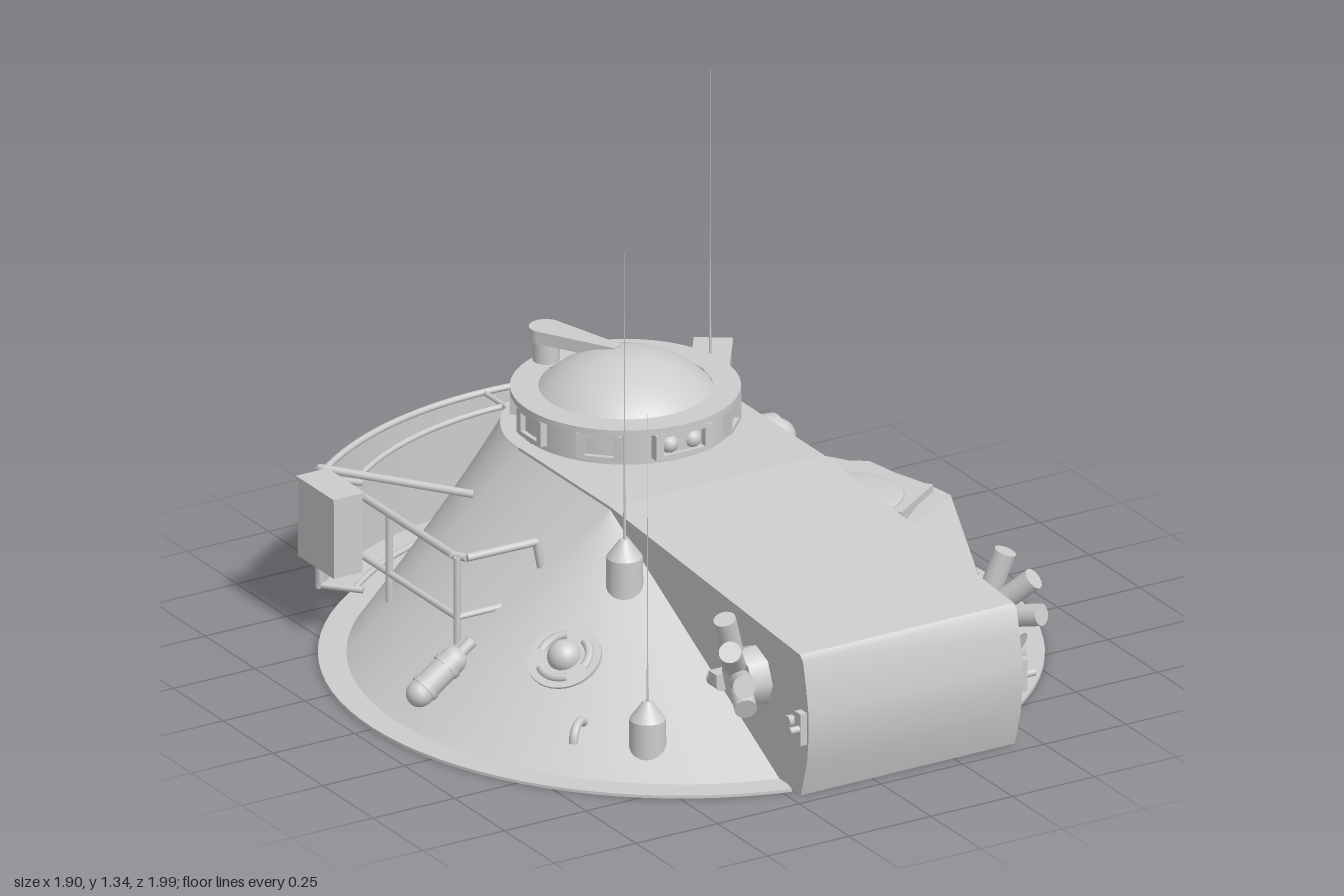
import * as THREE from 'three';

const V = (x, y, z) => new THREE.Vector3(x, y, z);
const UP = V(0, 1, 0);
const CX = 0.11, CZ = -0.46, HALF = 0.3275, TOP = 0.46, R = 0.875;

export function createModel() {
  const model = new THREE.Group();
  const grey = new THREE.MeshStandardMaterial({ color: 0xcccccc, side: THREE.DoubleSide });
  grey.name = 'plain grey';

  const add = (name, geo, parent = model, pos = [0, 0, 0], rot = [0, 0, 0]) => {
    const m = new THREE.Mesh(geo, grey);
    m.name = name;
    m.position.set(...pos);
    m.rotation.set(...rot);
    parent.add(m);
    return m;
  };
  // Skin between two rows of points
  const strip = (name, a, b, flat = false) => {
    const n = a.length, idx = [];
    for (let i = 0; i < n - 1; i++) idx.push(i, i + 1, n + i, i + 1, n + i + 1, n + i);
    let g = new THREE.BufferGeometry().setFromPoints([...a, ...b]);
    g.setIndex(idx);
    if (flat) g = g.toNonIndexed();
    g.computeVertexNormals();
    return add(name, g);
  };
  const flatShape = pts => new THREE.ShapeGeometry(new THREE.Shape(pts.map(p => new THREE.Vector2(...p))));
  const cyl = (r1, r2, h, n = 20) => new THREE.CylinderGeometry(r1, r2, h, n);
  const box = (x, y, z) => new THREE.BoxGeometry(x, y, z);
  // Round bar between two points, and a chain of them
  const bar = (name, a, b, r, parent = model, n = 10, rEnd = r) => {
    const d = b.clone().sub(a);
    const m = add(name, cyl(rEnd, r, d.length(), n), parent);
    m.position.copy(a).addScaledVector(d, 0.5);
    m.quaternion.setFromUnitVectors(UP, d.normalize());
    return m;
  };
  const rail = (name, pts, r = 0.009) => {
    for (let i = 0; i < pts.length - 1; i++) bar(name, pts[i], pts[i + 1], r);
  };
  const group = (name, pos, normal = UP) => {
    const g = new THREE.Group();
    g.name = name;
    g.position.copy(pos);
    g.quaternion.setFromUnitVectors(UP, normal);
    model.add(g);
    return g;
  };

  // Base flange, open where the front housing passes through
  const flange = new THREE.RingGeometry(0.86, 0.95, 80, 1, -Math.PI / 2 + 0.49, Math.PI * 2 - 0.73);
  flange.rotateX(-Math.PI / 2);
  add('baseFlange', flange, model, [0, 0.008, 0]);
  add('flangeEdge', new THREE.CylinderGeometry(0.95, 0.95, 0.008, 80, 1, true, 0.49, Math.PI * 2 - 0.73), model, [0, 0.004, 0]);

  // Sloping shell on the left and back, closing in against the tower at its right end
  const low = [], high = [];
  for (let d = -76; d <= 140; d += 2) {
    const a = d * Math.PI / 180;
    const foot = V(-R * Math.cos(a), 0.008, -R * Math.sin(a));
    let head = V(CX - HALF, TOP, 0);
    if (d > 36) {
      const t = (d - 36) / 82 * 2.35;
      head = V(CX - HALF * Math.cos(t), TOP, CZ - HALF * Math.sin(t));
    } else if (d > 0) head.z = CZ * d / 36;
    if (d > 108) foot.lerp(V(head.x, 0.008, head.z), (d - 108) / 32);
    low.push(foot);
    high.push(head);
  }
  strip('slopingShell', low, high);

  // Front housing: upper and lower nose plates, roof, then its side walls
  const roof = [[0.955, 0], [0.985, 0.1], [0.994, 0.18], [0.994, 0.24], [0.98, 0.32], [0.965, 0.385], [0.95, 0.398]];
  const edge = (pts, x) => pts.map(([z, y]) => V(x, y, z));
  strip('housingNose', edge(roof, CX - HALF), edge(roof, CX + HALF));
  const roofTop = [[0.95, 0.398], [0, TOP + 0.008], [CZ, TOP + 0.008]];
  strip('housingRoof', edge(roofTop, CX - HALF), edge(roofTop, CX + HALF), true);
  const wall = (name, pts, x) => add(name, flatShape(pts).rotateY(-Math.PI / 2), model, [x, 0, 0]);
  wall('housingLeftWall', [...roof, [0, TOP + 0.008], [CZ, TOP + 0.008], [CZ, TOP], [0, TOP], [0.848, 0]], CX - HALF);
  wall('housingRightWall', [...roof, [0, TOP + 0.008], [CZ, TOP + 0.008], [CZ, 0.22], [0.2, 0.22], [0.42, 0]], CX + HALF);
  add('towerRoof', new THREE.CircleGeometry(HALF, 48, 0, Math.PI).rotateX(-Math.PI / 2), model, [CX, TOP + 0.006, CZ]);
  add('towerBackWall', new THREE.CylinderGeometry(HALF, HALF, 0.25, 32, 1, true, Math.PI / 2, Math.PI / 2), model, [CX, TOP - 0.117, CZ]);

  // Right platform with a sloping front
  const bot = [V(0.4375, 0.008, 0.42), V(0.87, 0.008, 0.1)], cap = [V(0.4375, 0.23, 0.2), V(0.868, 0.23, -0.07)];
  strip('platformFront', bot, cap);
  const wallLow = [], wallTop = [];
  for (let i = 0; i <= 30; i++) {
    const t = i / 30, a = -0.114 + t * 1.33, b = 0.08 + t * 1.136, rt = 0.872 - 0.03 * t;
    wallLow.push(V(0.877 * Math.cos(a), 0.008, -0.877 * Math.sin(a)));
    wallTop.push(V(rt * Math.cos(b), 0.23, -rt * Math.sin(b)));
  }
  strip('platformWall', wallLow, wallTop);
  const deck = [cap[0], ...wallTop].map(p => [p.x, -p.z]);
  for (let i = 0; i <= 10; i++) {
    const t = 1.15 - i * 0.115;
    deck.push([CX + HALF * Math.cos(t), -CZ + HALF * Math.sin(t)]);
  }
  add('platformDeck', flatShape(deck).rotateX(-Math.PI / 2), model, [0, 0.23, 0]);
  const floor = [[0.4375, -0.42], [0.87, -0.1]];
  for (let i = 0; i <= 12; i++) {
    const a = 0.12 + i / 12 * 0.925;
    floor.push([R * Math.cos(a), -R * Math.sin(a)]);
  }
  add('frontRightFloor', flatShape(floor).rotateX(-Math.PI / 2), model, [0, 0.01, 0]);

  // Deck hatch
  const plate = new THREE.Shape([[0.46, 0.38], [0.75, 0.38], [0.79, 0.35], [0.83, 0.12], [0.55, -0.12], [0.46, -0.06]].map(p => new THREE.Vector2(...p)));
  add('hatchPlate', new THREE.ExtrudeGeometry(plate, { depth: 0.012, bevelEnabled: false }).rotateX(-Math.PI / 2), model, [0, 0.23, 0]);
  add('hatchLid', new THREE.SphereGeometry(0.145, 36, 8, 0, Math.PI * 2, 0, Math.PI / 2).scale(1, 0.12, 1), model, [0.63, 0.242, -0.19]);
  add('hatchHinge', box(0.2, 0.02, 0.025), model, [0.74, 0.25, -0.05], [0, 0.6, 0]);
  add('hatchKnob', cyl(0.02, 0.025, 0.04), model, [0.49, 0.26, -0.34]);

  // Rounded port on the platform slope
  const port = new THREE.Shape();
  port.moveTo(0.13, 0.18).lineTo(0.24, 0.18).quadraticCurveTo(0.33, 0.13, 0.3, 0.03).lineTo(0.26, 0.03);
  add('slopePort', new THREE.ExtrudeGeometry(port, { depth: 0.12, bevelEnabled: false }).rotateY(-Math.PI / 2), model, [0.67, 0, 0]);
  add('portRing', new THREE.TorusGeometry(0.033, 0.008, 8, 24).scale(1, 1.25, 1), model, [0.61, 0.11, 0.295], [-0.2, 0, 0]);

  // Cupola
  const cupola = group('cupola', V(CX, TOP, CZ));
  const profile = [[0.285, 0], [0.285, 0.095], [0.302, 0.095], [0.302, 0.112], [0.228, 0.112]];
  for (let i = 0; i < profile.length - 1; i++)
    add('cupolaRing', new THREE.LatheGeometry([profile[i], profile[i + 1]].map(p => new THREE.Vector2(...p)), 64), cupola);
  const capR = 0.318;
  add('domeHatch', new THREE.SphereGeometry(capR, 48, 14, 0, Math.PI * 2, 0, Math.asin(0.228 / capR)), cupola, [0, 0.205 - capR, 0]);
  for (let i = 0; i < 8; i++) {
    const holder = new THREE.Group();
    holder.name = 'visionBlock';
    holder.rotation.y = i * Math.PI / 4;
    cupola.add(holder);
    const w = i ? 0.1 : 0.15;
    for (const s of [-1, 1]) {
      add('blockSide', box(0.022, 0.07, 0.03), holder, [s * w / 2, 0.058, 0.282]);
      add('blockEdge', box(w, 0.012, 0.03), holder, [0, 0.058 + s * 0.032, 0.282]);
    }
    if (!i) for (const s of [-1, 1]) add('frontLens', new THREE.SphereGeometry(0.025, 14, 10), holder, [s * 0.035, 0.055, 0.275]);
  }
  const arm = new THREE.Shape();
  arm.moveTo(-0.016, 0).lineTo(0.016, 0).lineTo(0.045, 0.23).absarc(0, 0.23, 0.045, 0, Math.PI).lineTo(-0.016, 0);
  add('periscopeArm', new THREE.ExtrudeGeometry(arm, { depth: 0.035, bevelEnabled: false }).rotateX(-Math.PI / 2), cupola, [0, 0.172, -0.04], [0, 0.4, 0]);
  add('periscopeStem', cyl(0.036, 0.036, 0.08), cupola, [-0.09, 0.145, -0.25]);

  // Grenade launchers and nose pins, mirrored about the housing
  const launcher = new THREE.Group();
  launcher.name = 'launcherSide';
  launcher.position.x = CX;
  add('launcherBracket', cyl(0.078, 0.085, 0.06, 8), launcher, [0.355, 0.26, 0.73], [0, 0, -Math.PI / 2]);
  const ends = [[0.43, 0.445, 0.74], [0.465, 0.39, 0.825], [0.455, 0.31, 0.88], [0.42, 0.22, 0.83]];
  for (const e of ends) {
    const from = V(0.37, 0.26, 0.71), to = V(...e), dir = to.clone().sub(from);
    bar('launcherTube', from, to, 0.024, launcher, 16);
    bar('launcherMuzzle', from.clone().addScaledVector(dir, 0.45), to, 0.03, launcher, 16);
  }
  add('launcherMount', box(0.08, 0.03, 0.04), launcher, [0.36, 0.23, 0.63]);
  add('lowerLamp', cyl(0.022, 0.022, 0.05), launcher, [0.345, 0.19, 0.57], [Math.PI / 2, 0, 0]);
  add('nosePinPlate', box(0.025, 0.09, 0.03), launcher, [0.335, 0.2, 0.97]);
  add('nosePin', cyl(0.01, 0.01, 0.06), launcher, [0.345, 0.2, 0.975], [0, 0, Math.PI / 2]);
  add('noseBolt', cyl(0.016, 0.016, 0.02, 6), launcher, [0.335, 0.2, 0.915], [0, 0, Math.PI / 2]);
  const mirror = launcher.clone();
  mirror.scale.x = -1;
  model.add(launcher, mirror);

  // Height and normal of the sloping shell ahead of the cupola
  const shellY = (x, z) => {
    const ax = CX - HALF, dx = x - ax, q = dx * dx + z * z, b = ax * dx;
    return TOP * (1 - q / (Math.sqrt(b * b + q * (R * R - ax * ax)) - b));
  };
  const onShell = (x, z) => V(x, shellY(x, z), z);
  const normalAt = (x, z) => V(shellY(x - 0.01, z) - shellY(x + 0.01, z), 0.02, shellY(x, z - 0.01) - shellY(x, z + 0.01)).normalize();

  // Round plates with three pads
  const roundPlate = (pos, normal, r) => {
    const g = group('roundPlate', pos, normal);
    add('plateDisc', cyl(r, r, 0.02, 32), g);
    add('plateBoss', new THREE.SphereGeometry(r * 0.45, 20, 10, 0, Math.PI * 2, 0, Math.PI / 2), g, [0, 0.01, 0]);
    for (let i = 0; i < 3; i++) add('platePad', new THREE.TorusGeometry(r * 0.68, r * 0.12, 8, 12, 1.3).rotateX(Math.PI / 2), g, [0, 0.01, 0], [0, i * 2.094, 0]);
  };
  roundPlate(V(0.44, 0.35, 0.08), V(1, 0, 0), 0.088);
  roundPlate(onShell(-0.515, 0.26), normalAt(-0.515, 0.26), 0.1);

  // Side lens
  add('lensHousing', cyl(0.065, 0.07, 0.06, 28), model, [0.465, 0.385, -0.33], [0, 0, -Math.PI / 2]);
  add('lensBall', new THREE.SphereGeometry(0.05, 22, 14), model, [0.495, 0.385, -0.33]);

  // Cylinders strapped to the sides
  const bottle = (a, b) => {
    const d = b.clone().sub(a), g = group('extinguisher', a.clone().add(b).multiplyScalar(0.5), d.clone().normalize());
    add('bottleBody', new THREE.CapsuleGeometry(0.036, d.length() * 0.6, 8, 18), g);
    add('bottleNeck', cyl(0.016, 0.016, 0.06, 12), g, [0, d.length() / 2, 0]);
    for (const y of [-0.04, 0.04]) add('bottleStrap', cyl(0.04, 0.04, 0.014), g, [0, y, 0]);
  };
  bottle(V(0.475, 0.1, 0.49), V(0.475, 0.26, 0.365));
  bottle(V(-0.86, 0.065, 0.04), V(-0.69, 0.185, 0.04));
  add('hoseBall', new THREE.SphereGeometry(0.022, 14, 10), model, [0.46, 0.21, 0.53]);
  rail('hose', [V(0.46, 0.21, 0.53), V(0.47, 0.19, 0.58), V(0.46, 0.21, 0.63)]);

  // Lifting loops
  for (const [x, y, z, a] of [[-0.6, shellY(-0.6, 0.47), 0.47, 0.65], [0.7, 0.02, 0.48, -0.65]])
    add('liftingLoop', new THREE.TorusGeometry(0.042, 0.012, 10, 20, Math.PI), model, [x, y, z], [0, a, 0]);

  // Tapering antennas and their mounts
  const antenna = (x, y, z, top, thick) => {
    bar('antennaBase', V(x, y, z), V(x, thick, z), 0.004, model, 6, 0.002);
    bar('antennaWhip', V(x, thick, z), V(x, top, z), 0.0015, model, 6, 0.0005);
  };
  for (const [x, z, top, thick] of [[-0.29, 0.19, 1.28, 0.78], [-0.47, 0.6, 1.01, 0.3]]) {
    const y = shellY(x, z);
    add('antennaPot', cyl(0.048, 0.05, 0.11), model, [x, y + 0.02, z]);
    add('antennaCone', cyl(0.012, 0.048, 0.05), model, [x, y + 0.1, z]);
    antenna(x, y + 0.1, z, top, thick);
  }
  antenna(0.455, 0.36, -0.6, 1.34, 0.75);
  add('antennaBracket', box(0.09, 0.04, 0.08), model, [0.44, 0.36, -0.6]);
  add('antennaCup', cyl(0.035, 0.02, 0.06), model, [0.455, 0.47, -0.6]);
  add('antennaStem', cyl(0.012, 0.012, 0.12), model, [0.455, 0.41, -0.6]);
  add('antennaRing', new THREE.TorusGeometry(0.04, 0.007, 8, 24).rotateX(Math.PI / 2), model, [0.455, 0.5, -0.6]);

  // Rear basket: curved panel on the left half, open rails on the right
  const arc = (r, y, a, b, n = 20) => Array.from({ length: n + 1 }, (_, i) => {
    const t = a + (b - a) * i / n;
    return V(r * Math.sin(t), y, -r * Math.cos(t));
  });
  strip('basketPanel', arc(0.99, 0.06, -0.72, 0.11), arc(0.99, 0.38, -0.72, 0.11));
  strip('basketFloor', arc(0.86, 0.06, -0.72, 0.11), arc(0.99, 0.06, -0.72, 0.11));
  rail('panelRim', arc(0.99, 0.38, -0.72, 0.11));
  for (const y of [0.07, 0.22, 0.375]) rail('basketRail', arc(0.988, y, 0.11, 0.58, 10));
  for (const y of [0.07, 0.375]) rail('innerRail', arc(0.895, y, -0.72, 0.62, 24), 0.008);
  for (const t of [-0.72, 0.11, 0.35, 0.58]) {
    const p = y => arc(0.988, y, t, t, 1)[0], q = y => arc(0.87, y, t, t, 1)[0];
    rail('basketPost', [q(0.07), p(0.07), p(0.375), q(0.375)]);
  }
  rail('basketStay', [V(0, 0.38, -0.99), V(0, 0.38, -0.78)], 0.007);
  rail('basketStay', [V(0.1, 0.38, -0.98), V(0.1, 0.38, -0.78)], 0.012);

  // Left guard rail
  rail('guardRail', [V(-0.65, 0.06, -0.75), V(-0.65, 0.4, -0.75), V(-0.65, 0.4, -0.08), V(-0.63, 0.4, -0.045), V(-0.42, 0.4, -0.04), V(-0.4, 0.3, -0.04)], 0.011);
  rail('guardRail', [V(-0.65, 0.4, -0.75), V(-0.36, 0.37, -0.45)], 0.011);
  rail('guardRail', [V(-0.65, 0.23, -0.75), V(-0.65, 0.23, -0.06), V(-0.52, 0.24, -0.04)], 0.009);
  for (const z of [-0.4, -0.06]) rail('guardPost', [V(-0.65, 0.15, z), V(-0.65, 0.4, z)], 0.01);

  // Stowage boxes
  add('leftBox', box(0.088, 0.22, 0.18), model, [-0.708, 0.305, -0.6]);
  add('leftBoxLid', box(0.096, 0.014, 0.188), model, [-0.708, 0.415, -0.6]);
  add('rightBox', box(0.095, 0.28, 0.18), model, [0.56, 0.305, -0.765], [0, -0.6, 0]);
  add('rightBoxLid', box(0.103, 0.014, 0.188), model, [0.56, 0.445, -0.765], [0, -0.6, 0]);
  return model;
}
